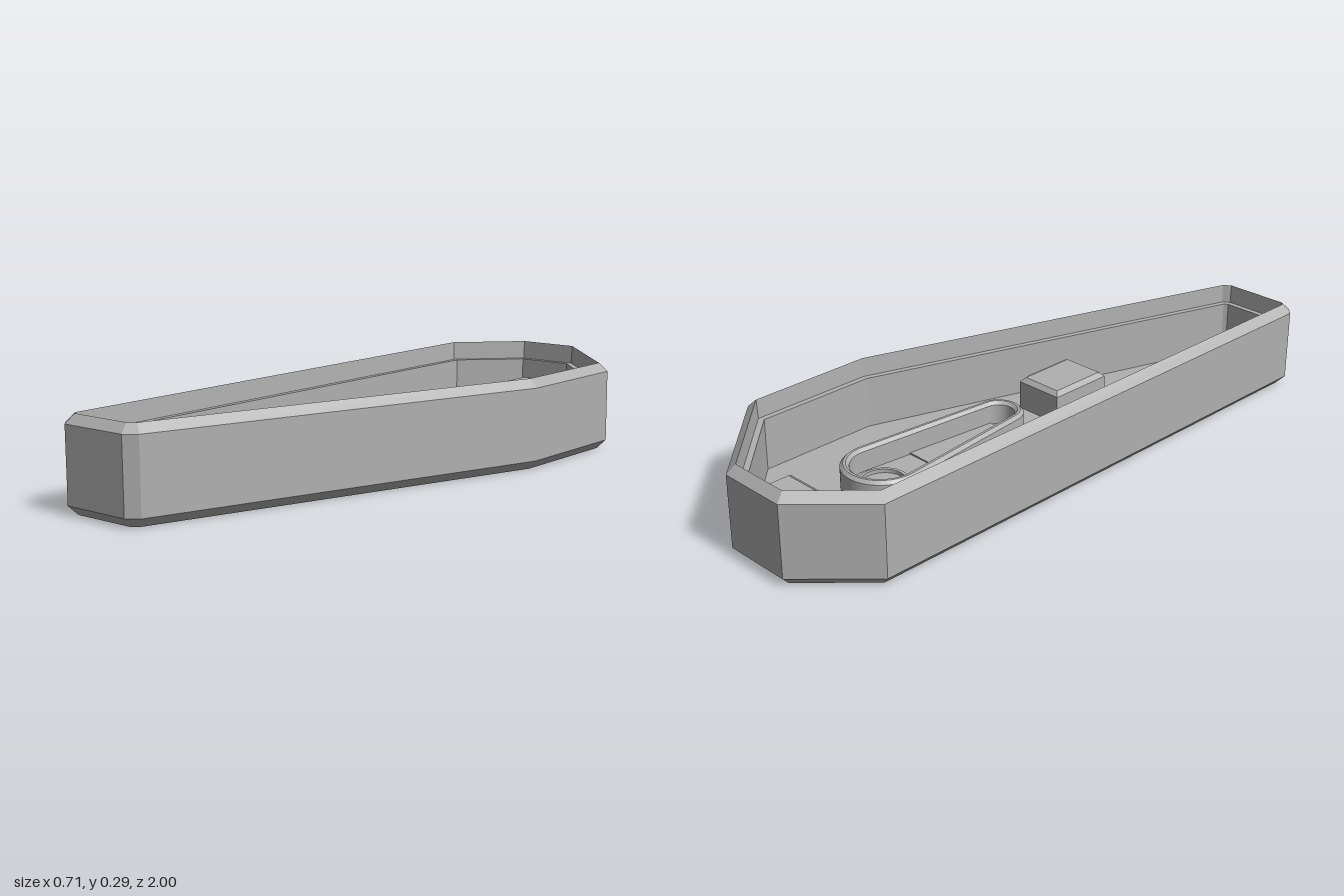
import * as THREE from 'three';

// Plan outline of the tray as [x, z]
const OUTLINE = [
  [-0.356, -0.8], [-0.16, -1], [0.065, -1], [0.356, -0.71], [0.356, -0.29],
  [-0.063, 0.972], [-0.1, 1], [-0.329, 1], [-0.356, 0.972],
];
const FLOOR = 0.06;

// Move every edge of a plan outline inward by d
function inset(points, d) {
  const n = points.length;
  const normal = (i) => {
    const a = points[i % n], b = points[(i + 1) % n];
    return new THREE.Vector2(b[1] - a[1], a[0] - b[0]).normalize();
  };
  return points.map((p, i) => {
    const n1 = normal(i + n - 1), n2 = normal(i);
    const k = d / (1 + n1.dot(n2));
    return [p[0] - k * (n1.x + n2.x), p[1] - k * (n1.y + n2.y)];
  });
}

// Faceted wall swept round the outline; profile is [inset, height]
function wallGeometry(profile) {
  const rings = profile.map(([d, y]) => inset(OUTLINE, d).map(([x, z]) => [x, y, z]));
  const pos = [];
  for (let i = 0; i < rings.length - 1; i++) {
    for (let j = 0; j < OUTLINE.length; j++) {
      const k = (j + 1) % OUTLINE.length;
      const a = rings[i][j], b = rings[i][k], c = rings[i + 1][j], e = rings[i + 1][k];
      pos.push(...a, ...c, ...b, ...b, ...c, ...e);
    }
  }
  const g = new THREE.BufferGeometry();
  g.setAttribute('position', new THREE.Float32BufferAttribute(pos, 3));
  g.computeVertexNormals();
  return g;
}

const polygon = (pts) => new THREE.Shape(pts.map(([x, z]) => new THREE.Vector2(x, z)));
const rect = (x0, x1, z0, z1) => polygon([[x0, z0], [x1, z0], [x1, z1], [x0, z1]]);

// Extrude a plan shape between two heights, with an optional chamfer
function slab(shape, y0, y1, bevel = 0) {
  const g = new THREE.ExtrudeGeometry(shape, {
    depth: y1 - y0 - 2 * bevel, bevelEnabled: bevel > 0, bevelSize: bevel,
    bevelThickness: bevel, bevelOffset: -bevel, bevelSegments: 1, curveSegments: 24,
  });
  g.rotateX(Math.PI / 2);
  g.translate(0, y1 - bevel, 0);
  return g;
}

// Teardrop: two circles joined by their tangents
function teardrop(shrink) {
  const R = 0.125, r = 0.077, z0 = -0.505, z1 = -0.032;
  const a = Math.asin((R - r) / (z1 - z0));
  const s = new THREE.Shape();
  s.absarc(0, z0, R - shrink, Math.PI - a, 2 * Math.PI + a, false);
  s.absarc(0, z1, r - shrink, a, Math.PI - a, false);
  s.closePath();
  return s;
}

export function createModel() {
  const group = new THREE.Group();
  const grey = new THREE.MeshStandardMaterial({ color: 0xb0b0b0 });
  grey.name = 'grey';
  const add = (name, geometry) => {
    const mesh = new THREE.Mesh(geometry, grey);
    mesh.name = name;
    group.add(mesh);
  };

  // Chamfered outer wall with an inner ledge
  add('wall', wallGeometry([
    [0.027, 0], [0, 0.029], [0, 0.259], [0.027, 0.286],
    [0.03, 0.225], [0.048, 0.225], [0.048, FLOOR - 0.01],
  ]));

  // Floor with four slanted windows
  const floor = polygon(inset(OUTLINE, 0.027));
  for (let i = 0; i < 4; i++) {
    const z = -0.76 + i * 0.457;
    floor.holes.push(polygon([
      [-0.3, z], [-0.135, z - 0.16], [-0.135, z + 0.14], [-0.3, z + 0.3],
    ]));
  }
  add('floor', slab(floor, 0, FLOOR));

  // Raised square sockets
  const socket = (name, outer, hole) => {
    const s = rect(...outer);
    s.holes.push(rect(...hole));
    add(name, slab(s, 0.03, 0.165, 0.014));
  };
  socket('rearSocket', [-0.125, 0.095, -0.93, -0.768], [-0.09, 0.065, -0.908, -0.79]);
  socket('frontSocket', [-0.095, 0.068, 0.13, 0.35], [-0.07, 0.045, 0.165, 0.318]);

  // Teardrop rim and what lies inside it
  const rim = teardrop(0);
  rim.holes.push(teardrop(0.028));
  add('teardropRim', slab(rim, 0.03, 0.135, 0.01));

  const collar = new THREE.Shape().absarc(0, -0.505, 0.076, 0, Math.PI * 2, false);
  collar.holes.push(new THREE.Path().absarc(0, -0.505, 0.066, 0, Math.PI * 2, false));
  add('pivotCollar', slab(collar, 0.04, 0.072));

  add('teardropStep', slab(
    polygon([[-0.082, -0.33], [0.082, -0.33], [0.052, -0.02], [-0.052, -0.02]]), 0.04, 0.065));

  return group;
}
